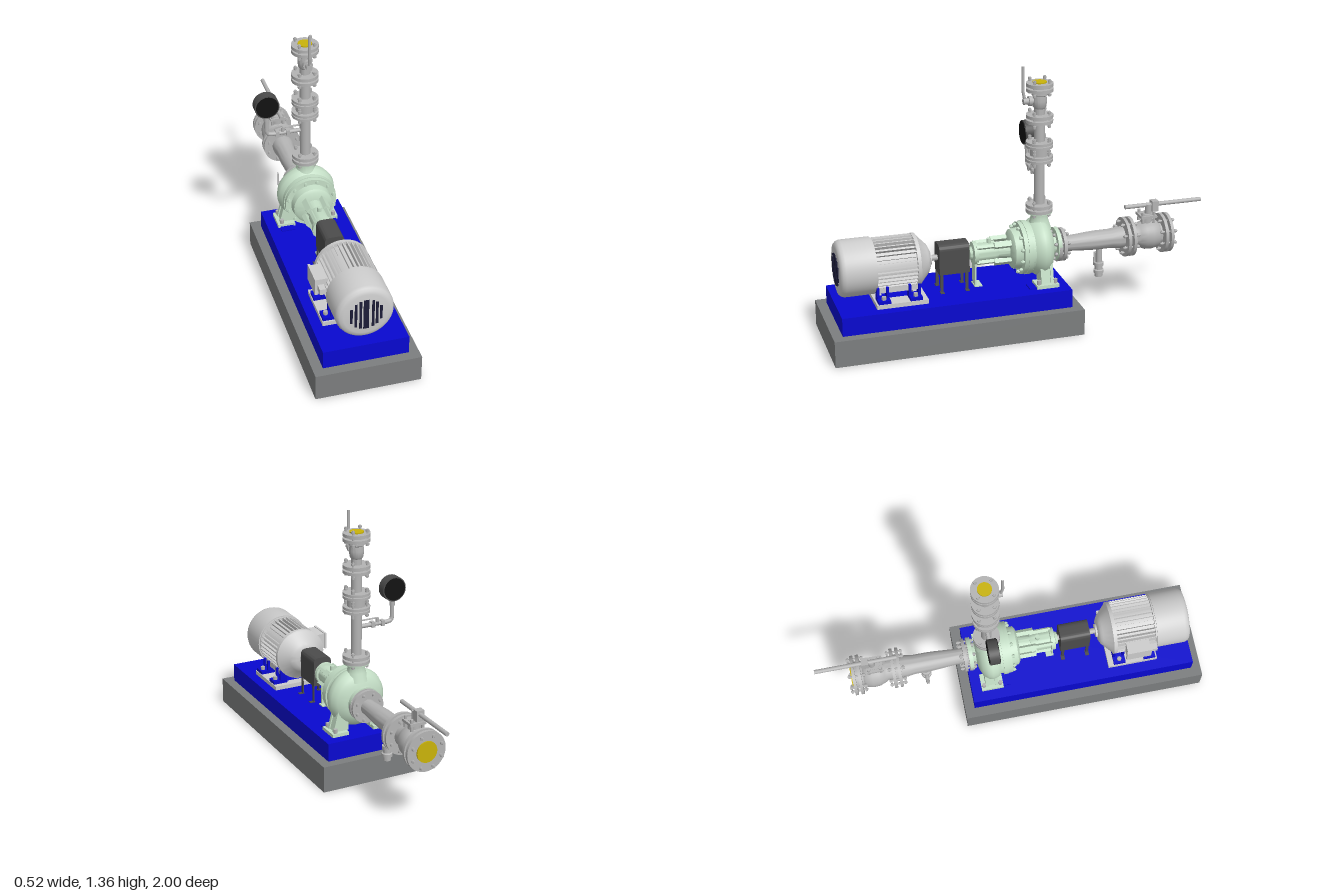
import * as THREE from 'three';
import { toCreasedNormals } from 'three/addons/utils/BufferGeometryUtils.js';

const mat = (name, color) => new THREE.MeshStandardMaterial({ name, color });

export function createModel() {
  const model = new THREE.Group();
  model.name = 'pumpSet';
  const M = {
    concrete: mat('concrete', 0x7c7e7f), blue: mat('frameBlue', 0x0808d0),
    mint: mat('pumpMint', 0xc4dec6), motor: mat('motorGrey', 0xcdcdcd),
    steel: mat('pipeSteel', 0xb4b4b4), guard: mat('guardDark', 0x4c4c4c),
    black: mat('gaugeBlack', 0x121212), yellow: mat('capYellow', 0xc9b30a),
    navy: mat('slotNavy', 0x1c1c38),
  };

  // Helpers
  const group = (name, x, y, z, parent = model) => {
    const g = new THREE.Group();
    g.name = name; g.position.set(x, y, z); parent.add(g);
    return g;
  };
  const add = (p, name, m, geo, x = 0, y = 0, z = 0) => {
    const o = new THREE.Mesh(geo, m);
    o.name = name; o.position.set(x, y, z); p.add(o);
    return o;
  };
  const box = (p, name, m, w, h, d, x, y, z) => add(p, name, m, new THREE.BoxGeometry(w, h, d), x, y, z);
  // upright cylinder from y0 to y1
  const cyl = (p, name, m, r, y0, y1, x = 0, z = 0, seg = 24) =>
    add(p, name, m, new THREE.CylinderGeometry(r, r, y1 - y0, seg), x, (y0 + y1) / 2, z);
  // turned part, points are [radius, height] listed upwards
  const lathe = (p, name, m, pts, seg = 40) => add(p, name, m,
    toCreasedNormals(new THREE.LatheGeometry(pts.map(a => new THREE.Vector2(...a)), seg), 0.6));
  const tube = (p, name, m, pts, r) => add(p, name, m,
    new THREE.TubeGeometry(new THREE.CatmullRomCurve3(pts.map(a => new THREE.Vector3(...a)), false, 'catmullrom', 0.1), 40, r, 10));
  // ring of small bolts, with nuts at both ends
  const bolts = (p, m, n, ring, y0, y1, r) => {
    for (let i = 0; i < n; i++) {
      const a = (i + 0.5) / n * Math.PI * 2, x = Math.cos(a) * ring, z = Math.sin(a) * ring;
      cyl(p, 'bolt', m, r * 0.6, y0, y1, x, z, 8);
      cyl(p, 'nut', m, r, y0 + 0.004, y0 + 0.014, x, z, 6);
      cyl(p, 'boltHead', m, r, y1 - 0.014, y1 - 0.004, x, z, 6);
    }
  };
  // two mating flanges around height y
  const joint = (p, y, r, n, gap = 0.026, t = 0.016) => {
    for (const s of [-1, 1]) cyl(p, 'flange', M.steel, r, y + s * gap / 2 - t / 2, y + s * gap / 2 + t / 2, 0, 0, 40);
    cyl(p, 'gasket', M.steel, r * 0.68, y - gap / 2, y + gap / 2);
    bolts(p, M.steel, n, r * 0.8, y - gap / 2 - 0.03, y + gap / 2 + 0.03, 0.0095);
  };
  const capDisc = (p, y, r) => cyl(p, 'cap', M.yellow, r, y - 0.004, y + 0.004);

  // Foundation and base frame
  box(model, 'foundation', M.concrete, 0.524, 0.137, 1.275, 0, 0.0685, 0.3625);
  box(model, 'baseFrame', M.blue, 0.424, 0.095, 1.175, 0, 0.1845, 0.3625);

  // Motor: local y runs along world z
  const AX = 0.405;
  const motor = group('motor', 0, AX, 0);
  motor.rotation.x = Math.PI / 2;
  lathe(motor, 'motorBody', M.motor, [[0, 0.465], [0.055, 0.465], [0.075, 0.475], [0.085, 0.485], [0.128, 0.525], [0.137, 0.53],
    [0.137, 0.548], [0.118, 0.548], [0.118, 0.75], [0.137, 0.75], [0.137, 0.768]], 48);
  lathe(motor, 'fanCowl', M.motor, [[0.1, 0.757], [0.143, 0.757], [0.143, 0.905], [0.138, 0.92], [0.128, 0.93], [0.11, 0.934], [0, 0.934]], 48);
  for (let i = 0; i < 36; i++) {
    const a = i / 36 * Math.PI * 2;
    const fin = box(motor, 'coolingFin', M.motor, 0.03, 0.21, 0.005, Math.cos(a) * 0.121, 0.649, Math.sin(a) * 0.121);
    fin.rotation.y = -a;
  }
  cyl(motor, 'shaft', M.steel, 0.015, 0.24, 0.47);
  cyl(motor, 'shaftHub', M.motor, 0.035, 0.455, 0.47);
  for (const x of [-0.072, -0.05, -0.027, 0, 0.034, 0.053, 0.073]) {
    const h = 2 * Math.sqrt(0.0068 - x * x);
    box(model, 'cowlSlot', M.navy, x === 0 ? 0.026 : 0.012, h, 0.006, x, AX - 0.002, 0.934);
  }
  box(model, 'terminalBox', M.motor, 0.06, 0.08, 0.12, -0.15, 0.43, 0.65);
  box(model, 'terminalLid', M.motor, 0.012, 0.088, 0.13, -0.178, 0.43, 0.65);
  box(model, 'cableGland', M.motor, 0.03, 0.03, 0.04, -0.155, 0.425, 0.73);

  // Motor mounting plate with open middle, and feet
  const plate = new THREE.Shape([[-0.16, -0.13], [0.16, -0.13], [0.16, 0.13], [-0.16, 0.13]].map(a => new THREE.Vector2(...a)));
  plate.holes.push(new THREE.Path([[-0.08, -0.08], [-0.08, 0.08], [0.08, 0.08], [0.08, -0.08]].map(a => new THREE.Vector2(...a))));
  add(model, 'motorPlate', M.motor, new THREE.ExtrudeGeometry(plate, { depth: 0.024, bevelEnabled: false })
    .rotateX(-Math.PI / 2), 0, 0.23, 0.635);
  for (const s of [-1, 1]) {
    for (const z of [0.565, 0.725]) {
      box(model, 'motorFoot', M.blue, 0.08, 0.016, 0.062, s * 0.116, 0.262, z);
      for (const d of [-0.024, 0.024]) box(model, 'footWeb', M.blue, 0.04, 0.065, 0.012, s * 0.098, 0.292, z + d);
      cyl(model, 'footBolt', M.steel, 0.012, 0.27, 0.287, s * 0.135, z, 6);
    }
    box(model, 'footRail', M.motor, 0.025, 0.03, 0.2, s * 0.093, 0.307, 0.645);
  }

  // Coupling guard: arched tunnel on thin brackets
  const arch = new THREE.Shape();
  arch.moveTo(-0.05, 0.325); arch.lineTo(0.05, 0.325); arch.lineTo(0.05, 0.45);
  arch.quadraticCurveTo(0.05, 0.48, 0.02, 0.48); arch.lineTo(-0.02, 0.48);
  arch.quadraticCurveTo(-0.05, 0.48, -0.05, 0.45); arch.closePath();
  add(model, 'couplingGuard', M.guard, toCreasedNormals(
    new THREE.ExtrudeGeometry(arch, { depth: 0.155, bevelEnabled: false }), 0.6), 0, 0, 0.265);
  for (const s of [-1, 1]) for (const z of [0.28, 0.41]) {
    box(model, 'guardLeg', M.guard, 0.006, 0.11, 0.015, s * 0.046, 0.28, z);
    box(model, 'guardLegPad', M.guard, 0.03, 0.005, 0.02, s * 0.054, 0.2325, z);
  }

  // Pump: bearing housing, lantern and volute
  const pump = group('pump', 0, AX, 0);
  pump.rotation.x = Math.PI / 2;
  lathe(pump, 'volute', M.mint, [[0, -0.215], [0.085, -0.215], [0.085, -0.195], [0.052, -0.195], [0.055, -0.178], [0.09, -0.17],
    [0.125, -0.155], [0.146, -0.13], [0.152, -0.108], [0.146, -0.083], [0.13, -0.062], [0.13, -0.048], [0.138, -0.048], [0.138, -0.024],
    [0.134, -0.024], [0.134, -0.002], [0.105, -0.002], [0.1, 0.035], [0.085, 0.045], [0.045, 0.05], [0.038, 0.12], [0, 0.12]], 56);
  bolts(pump, M.mint, 12, 0.121, -0.062, 0.016, 0.01);
  lathe(pump, 'bearingHousing', M.mint, [[0, 0.11], [0.043, 0.11], [0.048, 0.13], [0.048, 0.215], [0.058, 0.217], [0.058, 0.238],
    [0.035, 0.242], [0.03, 0.255], [0, 0.255]], 32);
  for (let i = 0; i < 4; i++) {
    const a = (i + 0.5) * Math.PI / 2, x = Math.cos(a), z = Math.sin(a);
    const arm = box(pump, 'lanternArm', M.mint, 0.022, 0.11, 0.03, x * 0.064, 0.08, z * 0.064);
    arm.rotation.y = -a;
    const rib = box(pump, 'housingRib', M.mint, 0.026, 0.11, 0.014, x * 0.052, 0.17, z * 0.052);
    rib.rotation.y = -a;
  }
  cyl(model, 'oilFiller', M.mint, 0.012, 0.44, 0.475, 0, 0.15, 12);
  box(model, 'bearingSupport', M.mint, 0.05, 0.13, 0.008, 0, 0.295, 0.228);
  box(model, 'bearingSupportPad', M.mint, 0.07, 0.008, 0.04, 0, 0.234, 0.215);

  // Pump feet: sloped webs with bolted pads
  for (const s of [-1, 1]) {
    const web = new THREE.Shape([[0.06, 0.25], [0.145, 0.25], [0.115, 0.37], [0.06, 0.37]].map(a => new THREE.Vector2(s * a[0], a[1])));
    for (const z of [-0.15, -0.1]) add(model, 'pumpFootWeb', M.mint,
      new THREE.ExtrudeGeometry(web, { depth: 0.016, bevelEnabled: false }), 0, 0, z);
    const skin = box(model, 'pumpFootFace', M.mint, 0.012, 0.125, 0.06, s * 0.118, 0.307, -0.115);
    skin.rotation.z = s * 0.25;
    box(model, 'pumpFootPad', M.mint, 0.09, 0.02, 0.115, s * 0.115, 0.24, -0.115);
    box(model, 'pumpFootBlock', M.blue, 0.07, 0.01, 0.05, s * 0.115, 0.233, -0.045);
    for (const z of [-0.158, -0.072]) cyl(model, 'anchorBolt', M.steel, 0.011, 0.25, 0.272, s * 0.138, z, 6);
  }

  // Discharge line going up
  const up = group('dischargeLine', 0, 0, -0.115);
  lathe(up, 'dischargeNeck', M.mint, [[0.062, 0.5], [0.048, 0.545], [0.042, 0.57], [0.046, 0.588], [0.066, 0.588], [0.066, 0.602], [0, 0.602]]);
  joint(up, 0.615, 0.068, 4);
  cyl(up, 'riserPipe', M.steel, 0.027, 0.62, 0.87);
  joint(up, 0.877, 0.068, 4, 0.018, 0.013);
  cyl(up, 'checkValve', M.steel, 0.047, 0.875, 0.95);
  bolts(up, M.steel, 4, 0.054, 0.845, 0.978, 0.009);
  joint(up, 0.95, 0.068, 4, 0.018, 0.013);
  cyl(up, 'upperPipe', M.steel, 0.027, 0.95, 1.08);
  joint(up, 1.084, 0.068, 4);
  lathe(up, 'ballValve', M.steel, [[0.027, 1.09], [0.027, 1.135], [0.034, 1.145], [0.037, 1.175], [0.034, 1.2], [0.04, 1.205], [0.04, 1.215], [0.03, 1.22], [0.03, 1.24]]);
  joint(up, 1.245, 0.068, 4);
  capDisc(up, 1.268, 0.035);
  const stem = cyl(up, 'valveStem', M.steel, 0.016, -0.04, 0.04, 0, 0, 16);
  stem.rotation.x = Math.PI / 2; stem.position.set(0, 1.175, 0.045);
  const hub = cyl(up, 'valveGland', M.steel, 0.025, -0.008, 0.008, 0, 0, 16);
  hub.rotation.x = Math.PI / 2; hub.position.set(0, 1.175, 0.05);
  tube(up, 'valveLever', M.steel, [[0, 1.165, 0.07], [0, 1.19, 0.078], [0, 1.23, 0.086], [0, 1.355, 0.086]], 0.0075);

  // Pressure gauge on its branch pipe
  tube(up, 'gaugePipe', M.steel, [[0, 0.777, 0], [-0.17, 0.777, 0], [-0.193, 0.782, 0], [-0.2, 0.8, 0], [-0.2, 0.895, 0]], 0.011);
  for (const x of [-0.145, -0.09]) box(up, 'gaugeValveNut', M.steel, 0.018, 0.028, 0.028, x, 0.777, 0);
  cyl(up, 'gaugeValveStem', M.steel, 0.009, 0.78, 0.807, -0.117, 0, 12);
  box(up, 'gaugeValveHandle', M.steel, 0.09, 0.004, 0.012, -0.075, 0.807, 0);
  cyl(up, 'gaugeSocket', M.steel, 0.014, 0.86, 0.89, -0.2, 0, 12);
  const gauge = group('gauge', -0.2, 0.95, 0, up);
  gauge.rotation.x = Math.PI / 2;
  cyl(gauge, 'gaugeCase', M.guard, 0.063, -0.024, 0.024, 0, 0, 40);
  cyl(gauge, 'gaugeFace', M.black, 0.057, 0.022, 0.027, 0, 0, 40);
  cyl(gauge, 'gaugeBack', M.black, 0.057, -0.027, -0.022, 0, 0, 40);

  // Suction line going back
  const suction = group('suctionLine', 0, 0.398, 0);
  suction.rotation.x = Math.PI / 2;
  joint(suction, -0.222, 0.086, 8);
  lathe(suction, 'suctionPipe', M.steel, [[0.056, -0.59], [0.056, -0.54], [0.05, -0.5], [0.05, -0.42], [0.048, -0.38], [0.04, -0.27], [0.04, -0.23]]);
  joint(suction, -0.592, 0.103, 8, 0.03);
  lathe(suction, 'suctionValve', M.steel, [[0.058, -0.79], [0.06, -0.765], [0.07, -0.755], [0.078, -0.72], [0.076, -0.685], [0.064, -0.655], [0.056, -0.64], [0.056, -0.59]]);
  joint(suction, -0.797, 0.103, 8, 0.03);
  capDisc(suction, -0.823, 0.054);
  cyl(model, 'suctionStem', M.steel, 0.03, 0.45, 0.515, 0, -0.7);
  box(model, 'suctionStemPlate', M.steel, 0.085, 0.014, 0.085, 0, 0.505, -0.7);
  for (const x of [-0.03, 0.03]) for (const z of [-0.73, -0.67]) cyl(model, 'stemStud', M.steel, 0.008, 0.47, 0.53, x, z, 8);
  cyl(model, 'suctionSpindle', M.steel, 0.018, 0.5, 0.565, 0, -0.71, 16);
  box(model, 'leverHub', M.steel, 0.04, 0.055, 0.035, 0, 0.553, -0.742);
  const lever = cyl(model, 'suctionLever', M.steel, 0.011, -0.21, 0.21, 0, 0, 12);
  lever.rotation.x = Math.PI / 2; lever.position.set(0, 0.56, -0.79);

  // Drain valve below the suction pipe
  const drain = group('drainValve', 0, 0, -0.442);
  lathe(drain, 'drainBody', M.steel, [[0, 0.195], [0.02, 0.195], [0.02, 0.215], [0.027, 0.217], [0.027, 0.232], [0.02, 0.236], [0.02, 0.255],
    [0.026, 0.257], [0.026, 0.273], [0.016, 0.275], [0.016, 0.36]], 20);
  const tap = cyl(drain, 'drainStem', M.steel, 0.01, -0.025, 0.025, 0, 0, 12);
  tap.rotation.z = Math.PI / 2; tap.position.set(-0.035, 0.243, 0);
  box(drain, 'drainHandle', M.steel, 0.006, 0.075, 0.014, -0.06, 0.27, 0);

  return model;
}
